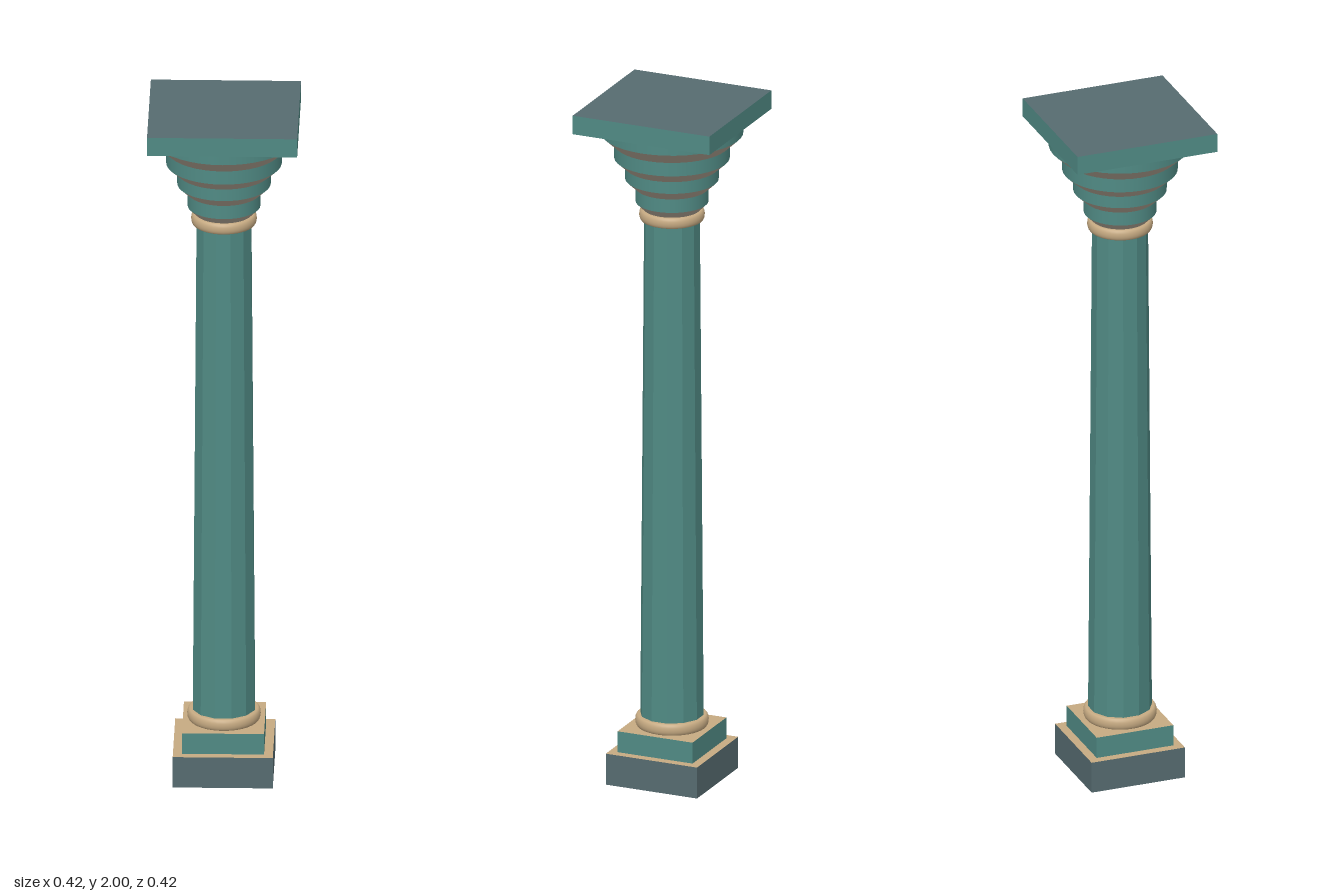
import * as THREE from 'three';

function makeMaterial(name, color) {
  const m = new THREE.MeshStandardMaterial({ color, side: THREE.DoubleSide });
  m.name = name;
  return m;
}

export function createModel() {
  const teal = makeMaterial('teal', 0x508a84);
  const slate = makeMaterial('slate', 0x566b70);
  const tan = makeMaterial('tan', 0xc6aa82);
  const taupe = makeMaterial('taupe', 0xb0a494);
  const column = new THREE.Group();
  column.name = 'column';

  function add(name, geometry, material, y = 0, parent = column) {
    const mesh = new THREE.Mesh(geometry, material);
    mesh.name = name;
    mesh.position.y = y;
    parent.add(mesh);
    return mesh;
  }

  // Open-ended round or faceted wall between two heights
  function wall(name, r0, r1, y0, y1, material, sides = 40, turn = 0, flat = false) {
    let g = new THREE.CylinderGeometry(r1, r0, y1 - y0, sides, 1, true);
    g.rotateY(turn);
    if (flat) {
      g = g.toNonIndexed();
      g.computeVertexNormals();
    }
    add(name, g, material, (y0 + y1) / 2);
  }

  // Square block, open underneath, with a separate top face
  function openBlock(name, half, y0, y1, sideMaterial, topMaterial) {
    const r = half * Math.SQRT2;
    wall(name + 'Sides', r, r, y0, y1, sideMaterial, 4, Math.PI / 4, true);
    add(name + 'Top', new THREE.PlaneGeometry(half * 2, half * 2).rotateX(-Math.PI / 2), topMaterial, y1);
  }

  // Rounded collar around the shaft
  function collar(name, inner, outer, y0, y1) {
    const h = y1 - y0;
    const bulge = h / 2;
    const pts = [new THREE.Vector2(inner, 0)];
    for (let i = 0; i <= 8; i++) {
      const a = -Math.PI / 2 + (Math.PI * i) / 8;
      pts.push(new THREE.Vector2(outer - bulge * 0.5 + bulge * 0.5 * Math.cos(a), bulge + bulge * Math.sin(a)));
    }
    pts.push(new THREE.Vector2(inner, h));
    add(name, new THREE.LatheGeometry(pts, 40), tan, y0);
  }

  // Base
  openBlock('plinth', 0.14, 0, 0.092, slate, tan);
  openBlock('baseBlock', 0.115, 0.092, 0.154, teal, tan);
  collar('lowerCollar', 0.08, 0.103, 0.154, 0.188);

  // Twelve-sided tapering shaft, one facet facing forward
  wall('shaft', 0.09, 0.079, 0.17, 1.67, teal, 12, Math.PI / 12, true);
  collar('upperCollar', 0.07, 0.092, 1.656, 1.688);

  // Capital: straight bands, each carried on a flare
  const bands = [
    // radius, flare start, band start, band end
    [0.102, 1.688, 1.71, 1.75],
    [0.131, 1.75, 1.777, 1.812],
    [0.162, 1.812, 1.84, 1.88],
    [0.2, 1.88, 1.915, 1.945],
  ];
  let below = 0.08;
  bands.forEach(([r, flareY, y0, y1], i) => {
    wall('capitalFlare' + (i + 1), below, r, flareY, y0, taupe);
    wall('capitalBand' + (i + 1), r, r, y0, y1, teal);
    below = r;
  });

  // Square slab on top: teal edges, slate faces
  add('abacus', new THREE.BoxGeometry(0.42, 0.055, 0.42), [teal, teal, slate, slate, teal, teal], 1.9725);

  return column;
}
